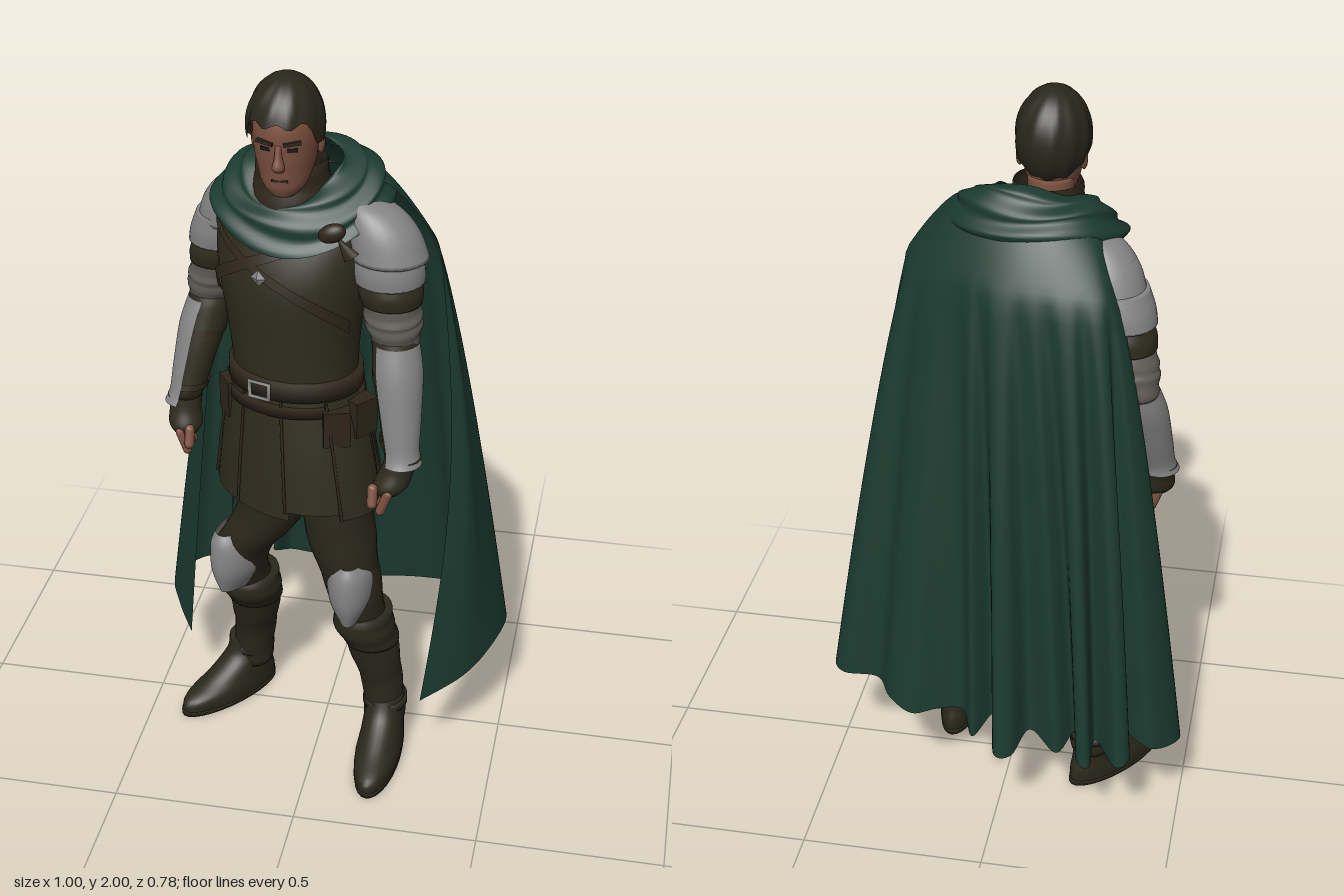
import * as THREE from 'three';

const mat = (name, color) => {
  const m = new THREE.MeshStandardMaterial({ color, side: THREE.DoubleSide });
  m.name = name;
  return m;
};
const PI = Math.PI, TAU = PI * 2;

// Smooth interpolation through rows of numbers
function sample(rows, t) {
  const n = rows.length - 1, i = Math.min(Math.floor(t), n - 1), f = t - i;
  const [a, b, c, d] = [i - 1, i, i + 1, i + 2].map(k => rows[Math.max(0, Math.min(n, k))]);
  return b.map((_, k) => b[k] + 0.5 * f * (c[k] - a[k] + f * (2 * a[k] - 5 * b[k] + 4 * c[k] - d[k]
    + f * (3 * (b[k] - c[k]) + d[k] - a[k]))));
}

// Surface from a point function; u runs around, v runs upwards
function grid(parent, name, material, nu, nv, closed, fn) {
  const pos = [], idx = [], w = closed ? nu : nu + 1;
  for (let j = 0; j <= nv; j++) for (let i = 0; i < w; i++) pos.push(...fn(i / nu, j / nv));
  for (let j = 0; j < nv; j++) for (let i = 0; i < nu; i++) {
    const a = j * w + i, b = j * w + (i + 1) % w, c = a + w, d = b + w;
    idx.push(a, c, b, b, c, d);
  }
  const g = new THREE.BufferGeometry();
  g.setAttribute('position', new THREE.Float32BufferAttribute(pos, 3));
  g.setIndex(idx);
  g.computeVertexNormals();
  return add(parent, name, g, material);
}
function add(parent, name, geometry, material, x = 0, y = 0, z = 0) {
  const m = new THREE.Mesh(geometry, material);
  m.name = name;
  m.position.set(x, y, z);
  parent.add(m);
  return m;
}

// Point on a stack of elliptical rings [x, y, z, rx, rz]
function ringPoint(rings, t, a, rot = 0, k = 1) {
  const [x, y, z, rx, rz] = sample(rings, t);
  const lx = rx * Math.cos(a) * k, lz = rz * Math.sin(a) * k;
  return [x + lx * Math.cos(rot) + lz * Math.sin(rot), y, z - lx * Math.sin(rot) + lz * Math.cos(rot)];
}
function loft(parent, name, material, rings, { rot = 0, a0 = 0, a1 = TAU, seg = 28, sub = 5, fold = 0 } = {}) {
  const r = rings[0][1] > rings[rings.length - 1][1] ? [...rings].reverse() : rings;
  const n = (r.length - 1) * sub, full = a1 - a0 > 6.28;
  return grid(parent, name, material, seg, n + 2, full, (u, v) => {
    const j = Math.round(v * (n + 2)), end = full && (j === 0 || j === n + 2);
    const t = Math.max(0, Math.min(n, j - 1)) / sub, a = a0 + (a1 - a0) * u;
    return ringPoint(r, t, a, rot, end ? 0 : 1 + fold * Math.sin(t * 8 + 2 * Math.sin(a)));
  });
}
// Round section along a straight limb: stops are [fraction, radius]
function limb(parent, name, material, A, B, stops, opts) {
  return loft(parent, name, material, stops.map(([t, r]) =>
    [...A.map((p, i) => p + (B[i] - p) * t), r, r]), opts);
}

export function createModel() {
  const root = new THREE.Group();
  root.name = 'cloakedKnight';
  const group = name => { const g = new THREE.Group(); g.name = name; root.add(g); return g; };
  const green = mat('cloak green', 0x1b3a2f), leather = mat('tunic leather', 0x2e2b1c),
    brown = mat('strap brown', 0x2f261a), steel = mat('steel', 0x858586),
    cloth = mat('sleeve grey', 0x66615c), skin = mat('skin', 0x7e5241),
    hairMat = mat('hair', 0x2a271c), trousers = mat('trousers', 0x2b271b),
    boot = mat('boot leather', 0x2b281b), dark = mat('dark trim', 0x1c1914);

  // Head
  const head = group('head'), hx = -0.075;
  loft(head, 'neck', skin, [[hx, 1.6, 0.09, 0.07, 0.07], [hx, 1.7, 0.11, 0.06, 0.062], [hx, 1.78, 0.12, 0.06, 0.065]]);
  loft(head, 'face', skin, [[hx, 1.705, 0.185, 0.03, 0.03], [hx, 1.73, 0.165, 0.056, 0.062],
    [hx, 1.77, 0.15, 0.07, 0.083], [hx, 1.82, 0.147, 0.079, 0.093], [hx, 1.88, 0.147, 0.081, 0.096],
    [hx, 1.93, 0.147, 0.068, 0.08], [hx, 1.955, 0.147, 0.03, 0.04]]);
  loft(head, 'nose', skin, [[hx, 1.782, 0.236, 0.012, 0.012], [hx, 1.795, 0.243, 0.016, 0.018],
    [hx, 1.82, 0.24, 0.01, 0.014], [hx, 1.85, 0.238, 0.008, 0.008]], { seg: 12 });
  for (const s of [-1, 1]) {
    add(head, 'ear', new THREE.SphereGeometry(0.025, 14, 10).scale(0.4, 1.1, 0.7), skin, hx + s * 0.082, 1.82, 0.125);
    add(head, 'eyebrow', new THREE.BoxGeometry(0.044, 0.009, 0.009), hairMat, hx + s * 0.034, 1.856, 0.238)
      .rotation.set(0, s * 0.3, s * 0.12);
    add(head, 'eye', new THREE.BoxGeometry(0.026, 0.009, 0.006), dark, hx + s * 0.033, 1.838, 0.233).rotation.y = s * 0.3;
  }
  add(head, 'mouth', new THREE.BoxGeometry(0.04, 0.006, 0.006), brown, hx, 1.754, 0.228);
  grid(head, 'hair', hairMat, 48, 16, true, (u, v) => {
    const a = u * TAU, s = Math.sin(a);
    const edge = -0.25 + 0.5 * THREE.MathUtils.smoothstep(s, 0.3, 0.75) + Math.min(s, 0) * 0.5 + 0.05 * Math.sin(a * 9);
    const lat = edge + (PI / 2 - edge) * v, c = Math.cos(lat) * (1 + 0.02 * Math.sin(a * 11 + v * 5));
    return [hx + 0.097 * c * Math.cos(a), 1.87 + 0.13 * Math.sin(lat), 0.147 + 0.117 * c * s];
  });

  // Torso, turned slightly to the model's right
  const body = group('body'), rot = -0.3;
  const torso = [[-0.055, 1.02, 0.12, 0.18, 0.16], [-0.06, 1.18, 0.125, 0.168, 0.14], [-0.065, 1.3, 0.115, 0.175, 0.148],
    [-0.07, 1.46, 0.1, 0.2, 0.16], [-0.07, 1.58, 0.075, 0.205, 0.145], [-0.07, 1.66, 0.07, 0.15, 0.1]];
  loft(body, 'tunic', leather, torso, { rot, seg: 40 });
  loft(body, 'collar', brown, [[-0.07, 1.62, 0.09, 0.12, 0.12], [-0.07, 1.7, 0.1, 0.1, 0.095],
    [-0.07, 1.77, 0.105, 0.088, 0.08]], { a1: 6.27, fold: 0.02 });
  const strap = (name, t0, t1, a0, a1, w) => grid(body, name, brown, 32, 2, false, (u, v) =>
    ringPoint(torso, t0 + (t1 - t0) * u + (v - 0.5) * w, a0 + (a1 - a0) * u, rot, 1.05));
  strap('chestStrap', 4.4, 2.6, 0.7, 2.9, 0.24);
  strap('chestStrap', 4.1, 2.4, 2.6, 0.3, 0.2);
  const band = (name, y, h, grow, m) => loft(body, name, m, [[-0.06, y - h, 0.125, 0.172 + grow, 0.145 + grow],
    [-0.06, y + h, 0.125, 0.17 + grow, 0.143 + grow]], { rot, seg: 40, sub: 1 });
  band('belt', 1.195, 0.024, 0.01, brown);
  band('lowerBelt', 1.14, 0.014, 0.014, brown);
  const buckle = add(body, 'buckle', new THREE.TorusGeometry(0.03, 0.006, 6, 4, TAU), steel, -0.125, 1.195, 0.274);
  buckle.geometry.rotateZ(PI / 4).scale(1.3, 1, 1);
  buckle.rotation.y = rot;
  add(body, 'brooch', new THREE.OctahedronGeometry(0.022).scale(1, 1, 0.4), steel, -0.125, 1.505, 0.262).rotation.y = rot;
  for (const [x, y, z, r] of [[0.125, 1.11, 0.2, 0.9], [-0.225, 1.11, 0.155, -1], [0.07, 1.1, 0.255, 0.3]])
    add(body, 'pouch', new THREE.BoxGeometry(0.07, 0.1, 0.045), brown, x, y, z).rotation.y = r;

  // Skirt of overlapping leather panels
  const panels = 9, turnOut = rot - 0.15;
  for (let i = 0; i < panels; i++) {
    const a = PI / 2 + i * TAU / panels, k = i % 2 * 0.012, hem = 0.835 + (i % 3) * 0.012;
    loft(body, 'skirtPanel', leather, [[-0.048, hem, 0.13, 0.228 + k, 0.175 + k],
      [-0.052, 1.0, 0.128, 0.205 + k, 0.162 + k], [-0.06, 1.17, 0.125, 0.168 + k, 0.142 + k]],
    { rot: turnOut, a0: a - 0.37, a1: a + 0.4, seg: 8 });
    const edge = v => ringPoint([[-0.048, hem, 0.13, 0.23 + k, 0.177 + k], [-0.06, 1.17, 0.125, 0.172 + k, 0.146 + k]],
      v, a + 0.37, turnOut, 1.01);
    add(body, 'panelSeam', new THREE.TubeGeometry(new THREE.LineCurve3(new THREE.Vector3(...edge(0)),
      new THREE.Vector3(...edge(1))), 1, 0.004, 5), brown);
  }

  // Arms: shoulder, elbow, wrist, fingertips, pauldron rings, plate arc
  const arm = (name, S, E, W, H, cap, out) => {
    const g = group(name), side = Math.sign(S[0]);
    limb(g, 'sleeve', cloth, S, E, [[0.1, 0.06], [0.5, 0.072], [0.8, 0.074], [0.92, 0.072], [1.08, 0.058]], { fold: 0.035 });
    loft(g, 'pauldron', steel, cap);
    limb(g, 'pauldronLame', steel, S, E, [[0.3, 0.085], [0.44, 0.092], [0.55, 0.09]]);
    limb(g, 'armBand', leather, S, E, [[0.56, 0.078], [0.64, 0.083], [0.73, 0.078]]);
    limb(g, 'forearm', leather, E, W, [[-0.05, 0.058], [0.3, 0.06], [0.95, 0.042]], { fold: 0.02 });
    limb(g, 'vambrace', steel, E, W, [[0.06, 0.062], [0.3, 0.068], [0.65, 0.058], [0.9, 0.049], [1, 0.054]],
      { a0: out[0], a1: out[1] });
    for (const t of [0.3, 0.8]) limb(g, 'vambraceStrap', brown, E, W, [[t, 0.069 - t * 0.02], [t + 0.06, 0.068 - t * 0.02]],
      { a0: out[1], a1: out[0] + TAU });
    limb(g, 'glove', leather, W, H, [[-0.12, 0.047], [0.15, 0.043], [0.45, 0.046], [0.62, 0.034]]);
    for (let i = 0; i < 4; i++) {
      const f = add(g, 'finger', new THREE.CapsuleGeometry(0.0125, 0.055, 4, 8), skin,
        W[0] * 0.3 + H[0] * 0.7, W[1] * 0.25 + H[1] * 0.75 + 0.006 * (i % 3), W[2] * 0.3 + H[2] * 0.7 + (i - 1.5) * 0.021);
      f.rotation.z = -side * 0.35;
    }
    add(g, 'thumb', new THREE.CapsuleGeometry(0.014, 0.04, 4, 8), skin,
      H[0] - side * 0.015, H[1] + 0.05, H[2] + 0.025).rotation.x = -0.3;
  };
  arm('leftArm', [0.165, 1.66, 0.14], [0.2, 1.33, 0.15], [0.235, 1.0, 0.23], [0.185, 0.87, 0.26],
    [[0.1, 1.685, 0.12, 0.03, 0.03], [0.135, 1.66, 0.13, 0.065, 0.06], [0.165, 1.61, 0.14, 0.088, 0.08],
      [0.185, 1.54, 0.145, 0.098, 0.092]], [-1.6, 2.3]);
  arm('rightArm', [-0.24, 1.66, -0.01], [-0.325, 1.3, -0.07], [-0.39, 1.0, 0.02], [-0.38, 0.87, 0.06],
    [[-0.19, 1.685, 0.01, 0.03, 0.03], [-0.22, 1.655, 0, 0.06, 0.06], [-0.245, 1.6, -0.015, 0.08, 0.08],
      [-0.262, 1.53, -0.03, 0.086, 0.09]], [1.8, 5.2]);

  // Legs and boots: rings [x, y, z, rx, rz] down to the ankle
  const leg = (name, thigh, shaft, turn, foot, half) => {
    const g = group(name), [kx, ky, kz] = thigh[2];
    loft(g, 'trouserLeg', trousers, thigh, { fold: 0.025 });
    loft(g, 'kneePlate', steel, [[kx, ky - 0.1, kz + 0.01, 0.03, 0.08], [kx, ky - 0.03, kz + 0.015, 0.06, 0.098],
      [kx, ky + 0.05, kz + 0.015, 0.062, 0.098], [kx, ky + 0.09, kz + 0.01, 0.042, 0.086]],
    { rot: turn, a0: -0.1, a1: PI + 0.1 });
    loft(g, 'bootShaft', boot, shaft, { fold: 0.025 });
    const [a, b] = shaft;
    loft(g, 'bootCuff', boot, [[a[0], a[1] + 0.02, a[2], 0.076, 0.078], [a[0], a[1] - 0.03, a[2], 0.084, 0.086],
      [b[0], b[1] + 0.01, b[2], 0.076, 0.08]], { fold: 0.02 });
    loft(g, 'ankleStrap', boot, [0.14, 0.165].map(y => [shaft[3][0], y, shaft[3][2], 0.062, 0.066]), { sub: 1 });
    const f = new THREE.Group();
    f.name = 'foot';
    f.position.set(foot[0], 0, foot[1]);
    f.rotation.y = foot[2];
    g.add(f);
    loft(f, 'sole', boot, [[0, 0, 0, 0.06, half], [0, 0.015, 0, 0.062, half]], { sub: 1 });
    loft(f, 'bootFoot', boot, [[0, 0.012, 0, 0.061, half - 0.003], [0, 0.045, -0.005, 0.062, half - 0.01],
      [0, 0.08, -0.04, 0.057, half - 0.055], [0, 0.13, -0.075, 0.054, half - 0.1], [0, 0.18, -0.08, 0.054, 0.06]]);
  };
  leg('leftLeg', [[0.03, 1.02, 0.13, 0.1, 0.11], [0.06, 0.76, 0.16, 0.095, 0.1], [0.1, 0.575, 0.17, 0.078, 0.08],
    [0.13, 0.42, 0.155, 0.065, 0.07]],
  [[0.13, 0.46, 0.155, 0.073, 0.076], [0.15, 0.36, 0.14, 0.072, 0.077], [0.178, 0.22, 0.125, 0.058, 0.064],
    [0.188, 0.1, 0.125, 0.058, 0.063]], 0, [0.186, 0.205, -0.03], 0.185);
  leg('rightLeg', [[-0.12, 1.02, 0.1, 0.1, 0.11], [-0.13, 0.76, 0.1, 0.095, 0.1], [-0.23, 0.575, 0.08, 0.078, 0.08],
    [-0.215, 0.42, 0.02, 0.066, 0.07]],
  [[-0.215, 0.46, 0.03, 0.073, 0.076], [-0.212, 0.36, -0.005, 0.07, 0.077], [-0.225, 0.22, -0.05, 0.058, 0.064],
    [-0.238, 0.1, -0.065, 0.058, 0.063]], -0.5, [-0.297, 0, -0.66], 0.17);

  // Cape: neckline, shoulder line and folded hem, from the right edge round to the left
  const cape = group('cape');
  const neck = [[-0.22, 1.67, 0.04], [-0.2, 1.71, -0.01], [-0.1, 1.75, -0.03], [0, 1.755, -0.02], [0.1, 1.75, 0.03], [0.15, 1.72, 0.1]];
  const shoulder = [[-0.29, 1.53, -0.1], [-0.26, 1.55, -0.15], [-0.15, 1.56, -0.168], [0, 1.56, -0.155],
    [0.13, 1.56, -0.1], [0.25, 1.56, -0.01], [0.3, 1.55, 0.085]];
  const hem = [[-0.4, 0.22, 0.02], [-0.46, 0.24, -0.08], [-0.5, 0.26, -0.19], [-0.43, 0.28, -0.275], [-0.34, 0.31, -0.24],
    [-0.38, 0.3, -0.34], [-0.345, 0.28, -0.37], [-0.28, 0.31, -0.3], [-0.275, 0.28, -0.38], [-0.24, 0.29, -0.375],
    [-0.22, 0.32, -0.29], [-0.18, 0.29, -0.35], [-0.1, 0.32, -0.3], [-0.06, 0.28, -0.37], [-0.01, 0.28, -0.37],
    [0.01, 0.32, -0.25], [0.06, 0.28, -0.31], [0.1, 0.31, -0.235], [0.17, 0.31, -0.245], [0.24, 0.3, -0.265],
    [0.31, 0.32, -0.23], [0.36, 0.33, -0.16], [0.46, 0.33, -0.155], [0.5, 0.32, -0.08], [0.46, 0.29, 0.05],
    [0.4, 0.26, 0.14], [0.3, 0.23, 0.225]];
  grid(cape, 'capeCloth', green, 200, 44, false, (u, v) => {
    const [n, s, h] = [neck, shoulder, hem].map(c => sample(c, u * (c.length - 1)));
    const top = 0.78;
    if (v > top) {
      const q = (1 - v) / (1 - top), k = [q ** 0.85, q ** 1.2, q ** 0.85];
      return n.map((p, i) => p + (s[i] - p) * k[i]);
    }
    // The left front edge hangs straight, then sweeps forward near the hem
    const t = 1 - v / top, e = t ** 0.78, w = THREE.MathUtils.smoothstep(u, 0.88, 1);
    return [s[0] + (h[0] - s[0]) * e + 0.05 * w * Math.sin(PI * t), s[1] + (h[1] - s[1]) * t,
      s[2] + (h[2] - s[2]) * t ** (0.78 + 1.1 * w)];
  });
  // Draped hood gathered in soft rolls round the neck
  grid(cape, 'cowl', green, 64, 28, true, (u, v) => {
    const a = u * TAU, c = Math.cos(a), s = Math.sin(a), f = (1 + s) / 2;
    const k = 1 - 0.57 * v ** 1.4 + 0.03 * Math.sin(v * 19 + Math.sin(a + 0.6) * 1.6);
    const y = 1.665 - 0.095 * f + 0.04 * c * c + 0.012 * c + (0.115 - 0.02 * c * c) * Math.sin(v * PI / 2)
      + 0.008 * Math.sin(3 * a + v * 6);
    return [-0.052 + 0.232 * k * c, y, 0.077 + 0.175 * k * s];
  });
  const knot = add(cape, 'shoulderKnot', new THREE.SphereGeometry(0.03, 16, 12).scale(1.2, 0.8, 0.7), brown, 0.055, 1.63, 0.235);
  knot.rotation.z = 0.4;
  add(cape, 'knotTail', new THREE.ConeGeometry(0.022, 0.07, 8).scale(1, 1, 0.5), brown, 0.085, 1.6, 0.24).rotation.z = 0.6;
  return root;
}
